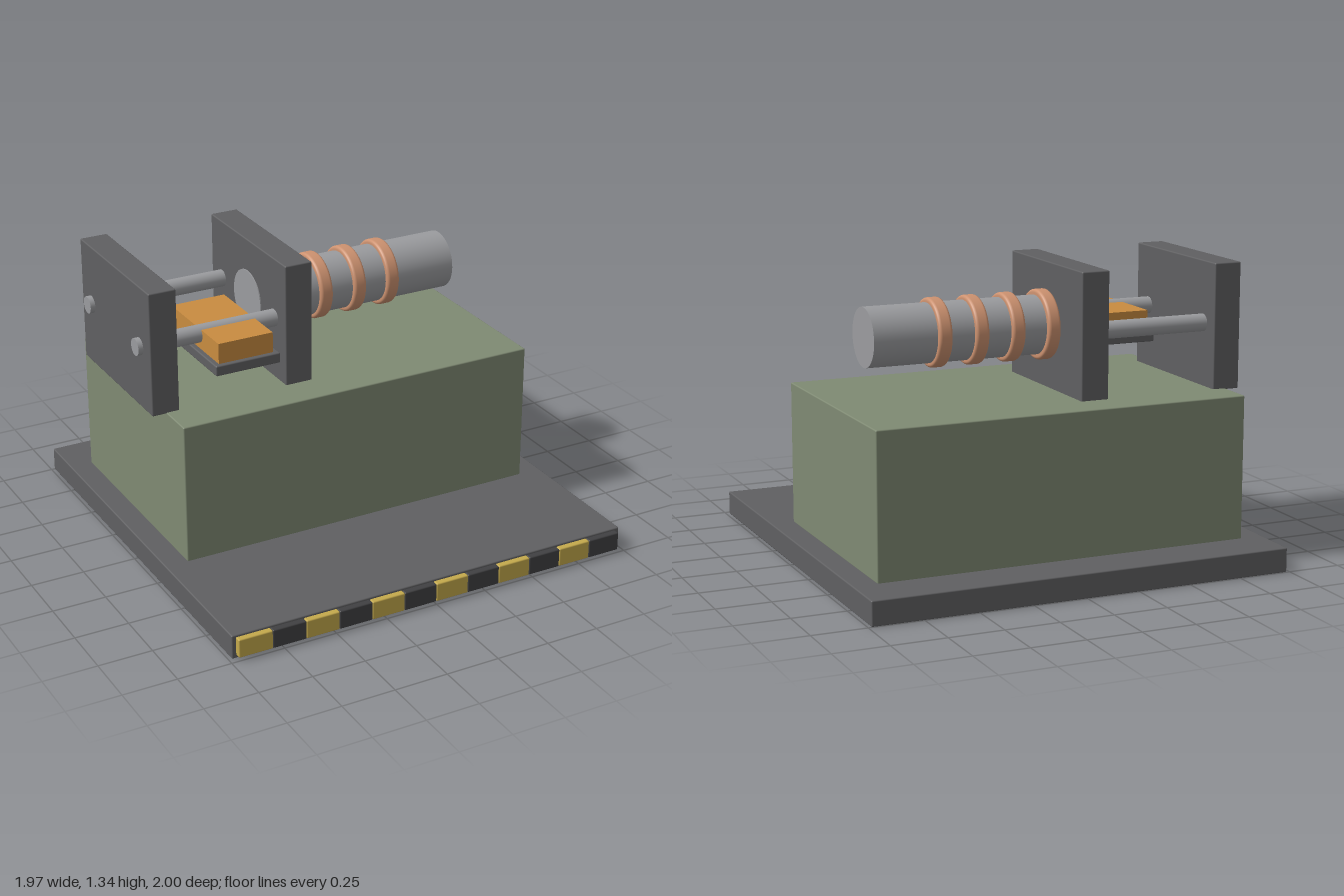
import * as THREE from 'three';
import { RoundedBoxGeometry } from 'three/addons/geometries/RoundedBoxGeometry.js';

function mat(name, color) {
  const m = new THREE.MeshStandardMaterial({ color });
  m.name = name;
  return m;
}

export function createModel() {
  const darkGrey = mat('dark grey', 0x606062);
  const green = mat('sage green', 0x7f8a73);
  const steel = mat('steel', 0x9b9c9f);
  const copper = mat('copper', 0xcd9270);
  const orange = mat('orange', 0xc98c40);
  const yellow = mat('hazard yellow', 0xc5aa4c);
  const black = mat('hazard black', 0x404042);

  const model = new THREE.Group();
  model.name = 'machine';

  const add = (name, geometry, material, x, y, z) => {
    const mesh = new THREE.Mesh(geometry, material);
    mesh.name = name;
    mesh.position.set(x, y, z);
    model.add(mesh);
    return mesh;
  };

  // Softly bevelled box given by its limits on each axis
  const box = (name, material, [x0, x1], [y0, y1], [z0, z1], bevel = 0.006) =>
    add(name, new RoundedBoxGeometry(x1 - x0, y1 - y0, z1 - z0, 2, bevel), material,
      (x0 + x1) / 2, (y0 + y1) / 2, (z0 + z1) / 2);

  // Cylinder lying along x
  const bar = (name, material, x0, x1, radius, y, z) =>
    add(name, new THREE.CylinderGeometry(radius, radius, x1 - x0, 40).rotateZ(-Math.PI / 2),
      material, (x0 + x1) / 2, y, z);

  // Floor slab and pedestal
  box('base', darkGrey, [-0.985, 0.985], [0, 0.112], [-1, 0.972]);
  box('pedestal', green, [-0.878, 0.875], [0.108, 0.77], [-0.78, 0.315]);

  // Hazard blocks along the front edge
  const count = 12, pitch = 1.93 / count;
  for (let i = 0; i < count; i++) {
    const x = -0.965 + i * pitch;
    box('hazardBlock', i % 2 ? black : yellow, [x, x + pitch], [0.014, 0.102], [0.962, 1]);
  }

  // Upright plates
  for (const [name, x0, x1] of [['outerPlate', -0.945, -0.815], ['innerPlate', -0.288, -0.156]])
    box(name, darkGrey, [x0, x1], [0.765, 1.343], [-0.605, 0.14]);

  // Guide rods through the plates
  for (const z of [-0.5, 0.028]) bar('guideRod', steel, -0.968, -0.22, 0.04, 1.06, z);

  // Barrel
  const axisY = 1.058, axisZ = -0.232;
  bar('barrel', steel, -0.293, 0.722, 0.135, axisY, axisZ);

  // Rounded copper rings
  const ring = (x, radius, width) => {
    const h = width / 2, b = 0.014, points = [new THREE.Vector2(0.13, -h)];
    for (const [cy, start] of [[-h + b, -Math.PI / 2], [h - b, 0]])
      for (let i = 0; i <= 4; i++) {
        const a = start + i * Math.PI / 8;
        points.push(new THREE.Vector2(radius - b + b * Math.cos(a), cy + b * Math.sin(a)));
      }
    points.push(new THREE.Vector2(0.13, h));
    add('coilRing', new THREE.LatheGeometry(points, 48).rotateZ(-Math.PI / 2), copper, x, axisY, axisZ);
  };
  ring(-0.13, 0.16, 0.062);
  for (const x of [0.042, 0.217, 0.392]) ring(x, 0.156, 0.064);

  // Tray with its workpiece
  box('tray', darkGrey, [-0.685, -0.372], [0.945, 0.993], [-0.278, 0.25]);
  add('workpiece', new THREE.BoxGeometry(0.264, 0.096, 0.484), orange, -0.53, 1.04, -0.013);

  return model;
}
